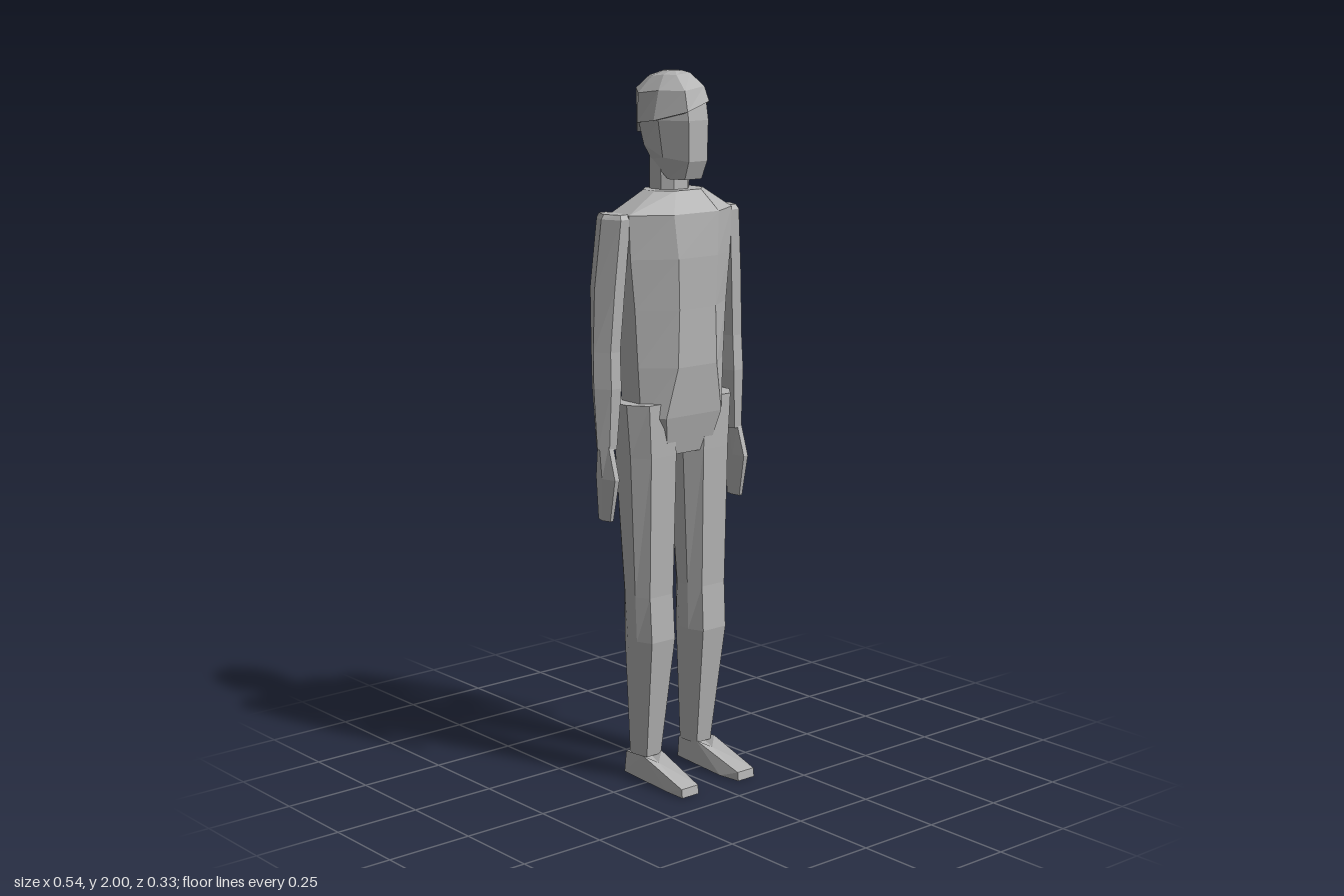
import * as THREE from 'three';

// Skin a stack of equal-sized rings of [x, y, z] points, bottom to top, with flat caps.
// Rings run front -> +x -> back -> -x.
function loft(rings, side = 1) {
  const n = rings[0].length, pos = [], idx = [];
  const all = rings.map(r => {
    const p = r.map(([x, y, z]) => [x * side, y, z]);
    return side < 0 ? p.reverse() : p;
  });
  all.forEach(r => r.forEach(p => pos.push(...p)));
  for (let k = 0; k < all.length - 1; k++) {
    for (let i = 0; i < n; i++) {
      const j = (i + 1) % n, a = k * n, b = a + n;
      idx.push(a + i, a + j, b + j, a + i, b + j, b + i);
    }
  }
  [0, all.length - 1].forEach(k => {
    const c = pos.length / 3, a = k * n;
    for (let d = 0; d < 3; d++) pos.push(all[k].reduce((s, p) => s + p[d], 0) / n);
    for (let i = 0; i < n; i++) {
      const j = (i + 1) % n;
      if (k === 0) idx.push(c, a + j, a + i);
      else idx.push(c, a + i, a + j);
    }
  });
  const g = new THREE.BufferGeometry();
  g.setAttribute('position', new THREE.Float32BufferAttribute(pos, 3));
  g.setIndex(idx);
  const flat = g.toNonIndexed();
  flat.computeVertexNormals();
  return flat;
}

// Symmetric eight-sided ring around x = cx: front, side and back half-widths with their depths.
const oct = (y, wF, zF, wS, zS, zR, wB, zB, cx = 0) => [
  [cx - wF, y, zF], [cx + wF, y, zF], [cx + wS, y, zS], [cx + wS, y, zR],
  [cx + wB, y, zB], [cx - wB, y, zB], [cx - wS, y, zR], [cx - wS, y, zS],
];

// Six-sided limb ring: inner and outer x, front and back z.
const hex = (y, xi, xo, zf, zb) => {
  const m = (zf + zb) / 2, w = xo - xi;
  return [
    [xi + w * 0.2, y, zf], [xi + w * 0.65, y, zf], [xo, y, m],
    [xi + w * 0.65, y, zb], [xi + w * 0.2, y, zb], [xi, y, m],
  ];
};

export function createModel() {
  const model = new THREE.Group();
  model.name = 'figure';
  const grey = new THREE.MeshStandardMaterial({ color: 0xb4b4b4 });
  grey.name = 'plain grey';
  const add = (name, rings, side) => {
    const mesh = new THREE.Mesh(loft(rings, side), grey);
    mesh.name = name;
    model.add(mesh);
  };

  // Torso from crotch to neck base
  add('torso', [
    oct(0.95, 0.075, 0.03, 0.08, 0.0, -0.08, 0.07, -0.12),
    oct(1.06, 0.1, 0.055, 0.145, 0.0, -0.08, 0.09, -0.145),
    oct(1.2, 0.07, 0.07, 0.155, 0.0, -0.08, 0.07, -0.15),
    oct(1.36, 0.065, 0.07, 0.165, 0.0, -0.08, 0.07, -0.155),
    oct(1.5, 0.07, 0.072, 0.18, 0.0, -0.08, 0.075, -0.165),
    oct(1.62, 0.08, 0.065, 0.185, 0.0, -0.08, 0.08, -0.14),
    oct(1.68, 0.045, 0.03, 0.085, -0.01, -0.06, 0.045, -0.1),
  ]);

  // Neck
  add('neck', [
    oct(1.66, 0.025, 0.0, 0.05, -0.025, -0.075, 0.025, -0.1),
    oct(1.8, 0.025, -0.005, 0.05, -0.03, -0.075, 0.025, -0.1),
  ]);

  // Head: jaw line rises towards the back
  const tilt = (ring, lift) => ring.map(([x, y, z], i) => [x, y + lift[i], z]);
  add('head', [
    tilt(oct(1.71, 0.03, 0.05, 0.048, 0.0, -0.07, 0.035, -0.1), [0, 0, 0, 0.05, 0.07, 0.07, 0.05, 0]),
    tilt(oct(1.76, 0.033, 0.07, 0.066, 0.0, -0.08, 0.04, -0.12), [0, 0, 0.01, 0.04, 0.06, 0.06, 0.04, 0.01]),
    oct(1.87, 0.035, 0.072, 0.082, 0.0, -0.085, 0.04, -0.13),
    oct(1.94, 0.035, 0.06, 0.078, 0.0, -0.085, 0.04, -0.13),
    oct(1.98, 0.025, 0.02, 0.05, -0.01, -0.07, 0.03, -0.1),
  ]);

  // Hair: side-swept cap with a low fringe on one side
  add('hair', [
    [[-0.05, 1.895, 0.085], [0.04, 1.92, 0.07], [0.088, 1.89, -0.02], [0.083, 1.85, -0.08],
      [0.038, 1.83, -0.14], [-0.045, 1.83, -0.135], [-0.09, 1.86, -0.08], [-0.098, 1.87, 0.0]],
    [[-0.045, 1.95, 0.068], [0.035, 1.96, 0.055], [0.085, 1.95, -0.02], [0.083, 1.95, -0.085],
      [0.037, 1.96, -0.146], [-0.045, 1.95, -0.138], [-0.085, 1.94, -0.08], [-0.08, 1.95, 0.0]],
    [[-0.03, 1.99, 0.015], [0.015, 1.995, 0.02], [0.05, 1.985, -0.02], [0.05, 1.985, -0.07],
      [0.03, 1.985, -0.115], [-0.02, 1.985, -0.11], [-0.045, 1.985, -0.07], [-0.045, 1.99, -0.02]],
    oct(2.0, 0.012, -0.01, 0.02, -0.02, -0.05, 0.012, -0.06),
  ]);

  for (const [side, label] of [[1, 'left'], [-1, 'right']]) {
    // Arm: upper arm, elbow, wrist
    add(label + 'UpperArm', [
      hex(1.25, 0.19, 0.265, -0.015, -0.1),
      hex(1.42, 0.178, 0.256, -0.008, -0.115),
      hex(1.61, 0.165, 0.238, 0.0, -0.105),
      hex(1.623, 0.172, 0.228, -0.008, -0.1),
    ], side);
    add(label + 'Forearm', [
      hex(0.98, 0.205, 0.262, -0.018, -0.075),
      hex(1.15, 0.19, 0.268, -0.01, -0.095),
      hex(1.25, 0.19, 0.265, -0.015, -0.1),
    ], side);
    add(label + 'Hand', [
      hex(0.78, 0.228, 0.252, -0.015, -0.067),
      hex(0.9, 0.222, 0.257, 0.008, -0.075),
      hex(0.99, 0.22, 0.257, -0.02, -0.068),
    ], side);

    // Leg: ankle, knee, thigh, hip
    add(label + 'Leg', [
      oct(0.07, 0.026, -0.01, 0.033, -0.035, -0.065, 0.026, -0.085, 0.094),
      oct(0.42, 0.042, 0.035, 0.06, -0.01, -0.05, 0.042, -0.085, 0.095),
      oct(0.55, 0.042, 0.028, 0.064, -0.01, -0.055, 0.042, -0.085, 0.096),
      oct(0.95, 0.045, 0.038, 0.08, -0.01, -0.075, 0.045, -0.12, 0.095),
      oct(1.1, 0.045, 0.04, 0.085, -0.01, -0.08, 0.045, -0.125, 0.103),
    ], side);

    // Foot: sole and sloping upper
    add(label + 'Foot', [
      [[0.075, 0, 0.163], [0.135, 0, 0.163], [0.14, 0.003, 0.1], [0.137, 0.01, -0.09], [0.063, 0.01, -0.09], [0.06, 0.003, 0.1]],
      [[0.075, 0.025, 0.16], [0.135, 0.025, 0.16], [0.135, 0.078, -0.01], [0.13, 0.07, -0.09], [0.068, 0.07, -0.09], [0.065, 0.078, -0.01]],
    ], side);
  }
  return model;
}
